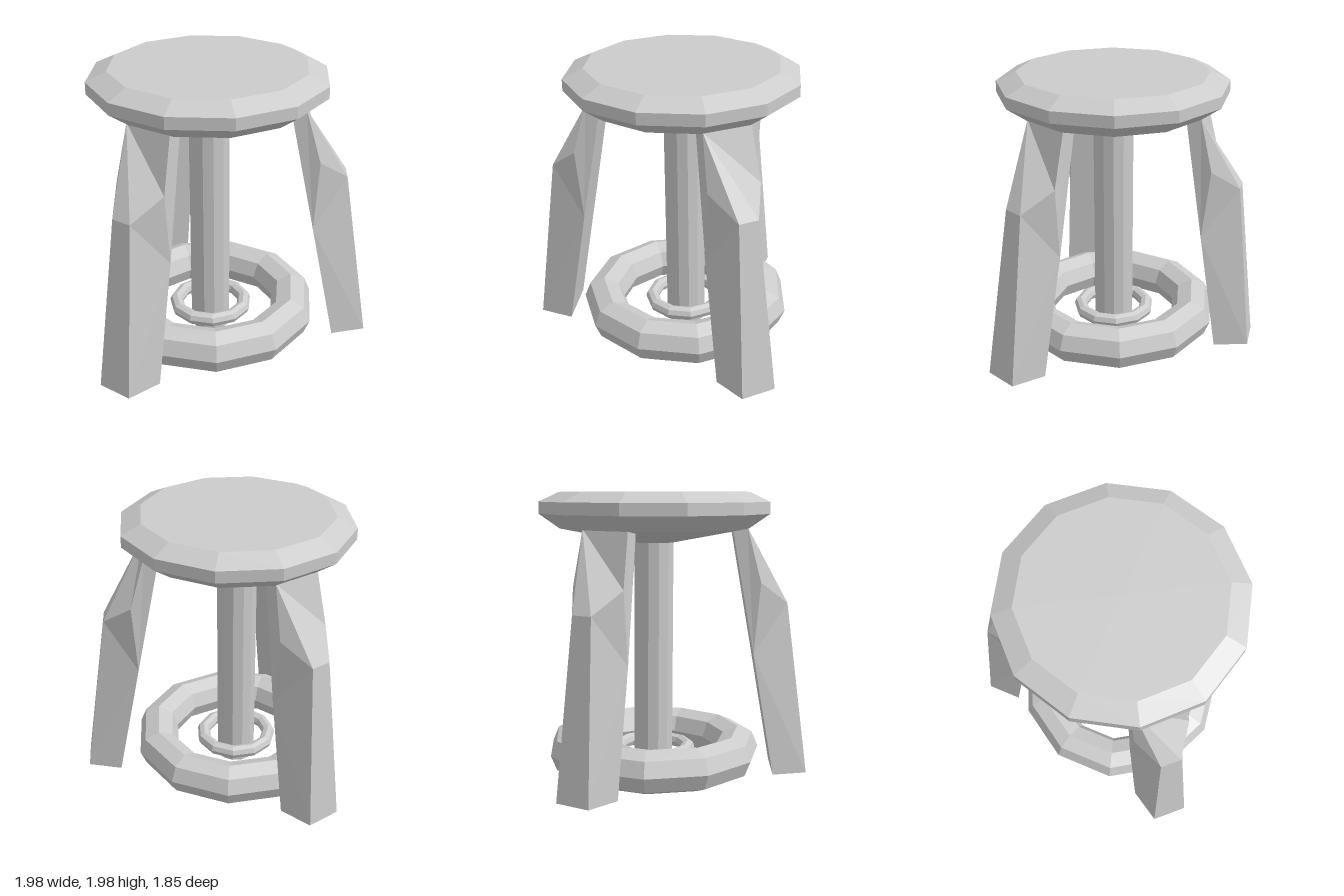
import * as THREE from 'three';

const material = new THREE.MeshStandardMaterial({ color: 0xcccccc, flatShading: true });

function part(name, geometry) {
  const mesh = new THREE.Mesh(geometry, material);
  mesh.name = name;
  return mesh;
}

// Bent leg; x points outward, z across. "pull" draws the foot in towards the column.
function legGeometry(pull) {
  // Edge pairs as [radius, height, half width]
  const edges = [
    [1.117, 0.03, 0.122], // 0, 1 outer foot
    [0.88, 0.03, 0.19], // 2, 3 inner foot
    [0.935, 1.22, 0.07], // 4, 5 knee
    [0.71, 0.88, 0.19], // 6, 7 inner bend
    [0.74, 1.37, 0.19], // 8, 9 shoulder
    [0.635, 1.74, 0.17], // 10, 11 outer top
    [0.535, 1.74, 0.17], // 12, 13 inner top
  ];
  const positions = edges.flatMap(([r, y, w]) => {
    const x = r - (pull * (1.74 - y)) / 1.71;
    return [x, y, w, x, y, -w];
  });
  const index = [
    0, 2, 3, 0, 3, 1, // foot
    0, 1, 5, 0, 5, 4, // lower outer face
    2, 6, 7, 2, 7, 3, // lower inner face
    6, 12, 13, 6, 13, 7, // upper inner face
    10, 11, 13, 10, 13, 12, // top
    10, 8, 4, 10, 4, 5, 10, 5, 9, 10, 9, 11, // upper outer face, fanned from one corner
  ];
  // Flanks, the second one mirrored
  const flank = [[0, 4, 6], [0, 6, 2], [4, 8, 6], [8, 10, 6], [10, 12, 6]];
  for (const [a, b, c] of flank) index.push(a, b, c, a + 1, c + 1, b + 1);

  const geometry = new THREE.BufferGeometry();
  geometry.setAttribute('position', new THREE.Float32BufferAttribute(positions, 3));
  geometry.setIndex(index);
  geometry.computeVertexNormals();
  return geometry;
}

function ring(name, radius, tube) {
  const mesh = part(name, new THREE.TorusGeometry(radius, tube, 8, 11));
  mesh.rotation.x = Math.PI / 2;
  mesh.position.y = 0.162;
  return mesh;
}

export function createModel() {
  const model = new THREE.Group();
  model.name = 'stool';

  // Everything is arranged around the column's axis
  const stool = new THREE.Group();
  stool.name = 'stoolBody';
  stool.position.set(-0.118, 0, 0.1);
  model.add(stool);

  // Bevelled seat with a shallow conical underside
  const seatProfile = [
    [0, 1.63], [0.14, 1.63], [0.66, 1.73], [0.802, 1.83], [0.802, 1.91], [0.665, 1.975], [0, 1.975],
  ].map(([r, y]) => new THREE.Vector2(r, y));
  stool.add(part('seat', new THREE.LatheGeometry(seatProfile, 12)));

  // Central column
  const column = part('column', new THREE.CylinderGeometry(0.14, 0.14, 1.64, 12));
  column.position.y = 0.82;
  stool.add(column);

  // Foot ring and the small collar around the column
  stool.add(ring('footRing', 0.607, 0.148), ring('columnCollar', 0.25, 0.048));

  // Three legs with slightly different slants: [direction in degrees, pull]
  for (const [angle, pull] of [[14.3, 0], [137, 0.04], [254, 0.085]]) {
    const leg = part('leg', legGeometry(pull));
    leg.rotation.y = -THREE.MathUtils.degToRad(angle);
    stool.add(leg);
  }
  return model;
}
